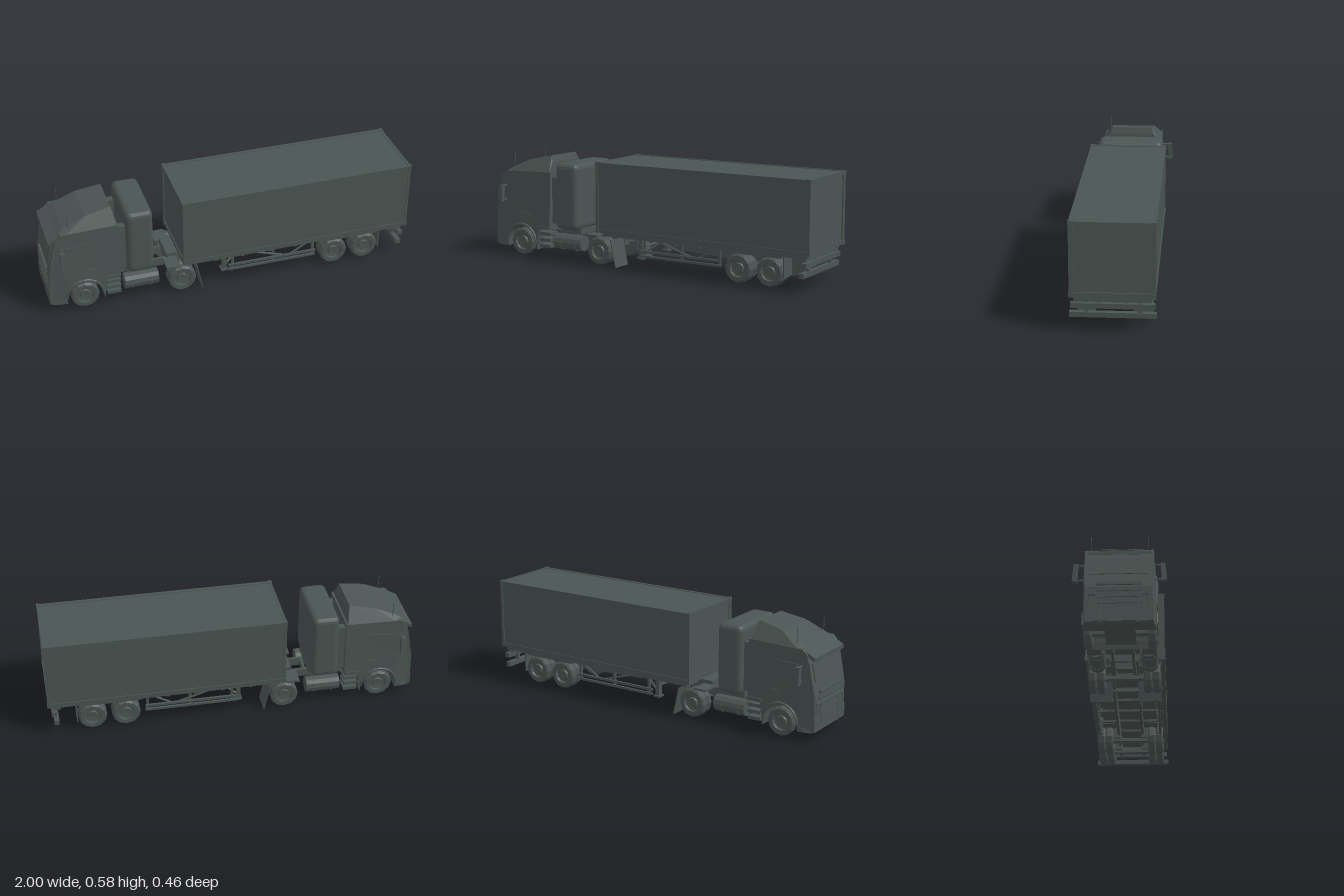
import * as THREE from 'three';
import { RoundedBoxGeometry } from 'three/addons/geometries/RoundedBoxGeometry.js';
import { ConvexGeometry } from 'three/addons/geometries/ConvexGeometry.js';

export function createModel() {
  const truck = new THREE.Group();
  truck.name = 'articulatedTruck';
  const paint = new THREE.MeshStandardMaterial({ color: 0x4a5452, flatShading: true, side: THREE.DoubleSide });
  paint.name = 'dark slate';

  const add = (name, geo, parent = truck) => {
    const m = new THREE.Mesh(geo, paint);
    m.name = name;
    parent.add(m);
    return m;
  };
  // Box given by its limits on each axis
  const box = (name, x0, x1, y0, y1, z0, z1, parent) =>
    add(name, new THREE.BoxGeometry(x1 - x0, y1 - y0, z1 - z0)
      .translate((x0 + x1) / 2, (y0 + y1) / 2, (z0 + z1) / 2), parent);
  // The same box on both sides of the truck
  const pair = (name, x0, x1, y0, y1, z0, z1, parent) => {
    box(name + 'Left', x0, x1, y0, y1, z0, z1, parent);
    box(name + 'Right', x0, x1, y0, y1, -z1, -z0, parent);
  };
  // Round bar between two points
  const bar = (name, a, b, r, parent) => {
    const p = new THREE.Vector3(...a), q = new THREE.Vector3(...b);
    const m = add(name, new THREE.CylinderGeometry(r, r, p.distanceTo(q), 6), parent);
    m.position.copy(p).lerp(q, 0.5);
    m.quaternion.setFromUnitVectors(new THREE.Vector3(0, 1, 0), q.sub(p).normalize());
  };
  // Side profile extruded across the truck
  const slab = (name, shape, z0, z1, parent) =>
    add(name, new THREE.ExtrudeGeometry(shape, { depth: z1 - z0, bevelEnabled: false, curveSegments: 8 })
      .translate(0, 0, z0), parent);
  const poly = pts => new THREE.Shape(pts.map(p => new THREE.Vector2(...p)));

  // Cab shell with open wheel arches, narrowed towards the nose
  const cab = new THREE.Group();
  cab.name = 'cab';
  truck.add(cab);
  const profile = poly([[-0.615, 0.165], [-0.615, 0.488], [-0.92, 0.48], [-0.945, 0.455], [-0.96, 0.41],
    [-0.98, 0.31], [-0.994, 0.24], [-0.995, 0.06], [-0.985, 0.05], [-0.95, 0.05], [-0.906, 0.05]]);
  profile.absarc(-0.81, 0.085, 0.096, Math.PI, 0, true);
  profile.lineTo(-0.705, 0.045);
  profile.lineTo(-0.69, 0.165);
  const shell = slab('cabShell', profile, -0.178, 0.178, cab).geometry;
  const pos = shell.attributes.position;
  for (let i = 0; i < pos.count; i++) {
    const nose = Math.max(0, -0.9 - pos.getX(i)) / 0.1;
    const roof = Math.max(0, pos.getY(i) - 0.3) / 0.19;
    pos.setZ(i, pos.getZ(i) * (1 - 0.1 * nose * nose - 0.05 * roof));
  }
  // Roof fairing rising to a narrow rear edge
  const fairing = [];
  for (const s of [-1, 1]) {
    for (const [x, y, z] of [[-0.93, 0.478, 0.14], [-0.89, 0.478, 0.165], [-0.625, 0.485, 0.166],
      [-0.9, 0.497, 0.13], [-0.78, 0.548, 0.125], [-0.64, 0.575, 0.112], [-0.63, 0.54, 0.125]])
      fairing.push(new THREE.Vector3(x, y, z * s));
  }
  add('roofFairing', new ConvexGeometry(fairing), cab);
  slab('sunVisor', poly([[-0.93, 0.47], [-0.985, 0.44], [-0.985, 0.42], [-0.93, 0.45]]), -0.155, 0.155, cab);
  slab('windscreen', poly([[-0.962, 0.41], [-0.981, 0.315], [-0.987, 0.315], [-0.968, 0.41]]), -0.142, 0.142, cab);
  for (let i = 0; i < 4; i++)
    box('grilleSlat', -1.0, -0.985, 0.15 + i * 0.033, 0.165 + i * 0.033, -0.11, 0.11, cab);
  box('bumper', -0.998, -0.93, 0.055, 0.125, -0.165, 0.165, cab);
  pair('headlamp', -0.995, -0.955, 0.13, 0.17, 0.115, 0.164, cab);
  pair('doorHandle', -0.79, -0.75, 0.232, 0.248, 0.17, 0.182, cab);
  pair('sideSkirt', -0.7, -0.62, 0.165, 0.185, 0.165, 0.183, cab);
  for (const s of [1, -1]) {
    // Side window, arch lip, steps, mirrors and aerials
    slab('sideWindow', poly([[-0.76, 0.305], [-0.93, 0.29], [-0.9, 0.4], [-0.76, 0.41]]),
      s > 0 ? 0.168 : -0.174, s > 0 ? 0.174 : -0.168, cab);
    const lip = add('archLip', new THREE.TorusGeometry(0.098, 0.007, 5, 10, Math.PI), cab);
    lip.position.set(-0.81, 0.085, s * 0.178);
    const mirror = add('mirror', new ConvexGeometry([
      [-0.935, 0.4, 0.2], [-0.91, 0.4, 0.2], [-0.935, 0.4, 0.222], [-0.91, 0.4, 0.222],
      [-0.935, 0.3, 0.205], [-0.91, 0.3, 0.205], [-0.935, 0.31, 0.231], [-0.91, 0.31, 0.231],
    ].map(([x, y, z]) => new THREE.Vector3(x, y, z * s))), cab);
    mirror.castShadow = false;
    bar('mirrorArmTop', [-0.92, 0.395, s * 0.15], [-0.92, 0.395, s * 0.215], 0.006, cab);
    bar('mirrorArmBottom', [-0.92, 0.315, s * 0.15], [-0.92, 0.315, s * 0.215], 0.006, cab);
    bar('aerial', [-0.875, 0.475, s * 0.142], [-0.875, 0.583, s * 0.142], 0.002, cab);
    // Bull bar uprights
    bar('bullBarUpright', [-0.994, 0.05, s * 0.09], [-0.994, 0.205, s * 0.09], 0.006, cab);
    bar('bullBarOuter', [-0.99, 0.06, s * 0.15], [-0.994, 0.19, s * 0.14], 0.006, cab);
  }
  for (const y of [0.06, 0.2]) bar('bullBarCross', [-0.994, y, -0.145], [-0.994, y, 0.145], 0.006, cab);
  for (let i = 0; i < 3; i++)
    pair('step', -0.69, -0.615, 0.06 + i * 0.035, 0.078 + i * 0.035, 0.1, 0.172, cab);

  // Tractor frame, engine and sleeper pod
  pair('tractorRail', -0.93, -0.2, 0.105, 0.15, 0.045, 0.06);
  box('engine', -0.93, -0.66, 0.07, 0.2, -0.075, 0.075);
  for (const x of [-0.58, -0.43, -0.34, -0.21]) box('crossMember', x, x + 0.015, 0.11, 0.145, -0.05, 0.05);
  add('sleeperPod', new RoundedBoxGeometry(0.146, 0.37, 0.364, 2, 0.03)).position.set(-0.503, 0.36, 0);
  pair('podBracket', -0.615, -0.57, 0.2, 0.46, 0.11, 0.15);
  box('podFloor', -0.57, -0.435, 0.148, 0.182, -0.13, 0.13);
  box('fifthWheel', -0.34, -0.2, 0.15, 0.185, -0.075, 0.075);
  for (const s of [1, -1]) {
    const tank = add('fuelTank', new THREE.CylinderGeometry(0.044, 0.044, 0.185, 12).rotateZ(Math.PI / 2));
    tank.position.set(-0.5, 0.102, s * 0.133);
    for (const x of [-0.55, -0.45]) {
      const strap = add('tankStrap', new THREE.CylinderGeometry(0.047, 0.047, 0.012, 12).rotateZ(Math.PI / 2));
      strap.position.set(x, 0.102, s * 0.133);
    }
    box('fender', -0.365, -0.29, 0.158, 0.168, s * 0.132 - 0.05, s * 0.132 + 0.05);
    // Slanted mud flap behind the drive wheel
    slab('mudFlap', poly([[-0.202, 0.15], [-0.17, 0], [-0.165, 0], [-0.197, 0.15]]), s * 0.128 - 0.06, s * 0.128 + 0.06);
  }

  // Wheels: lathed tyre with dished rim
  const tyre = new THREE.LatheGeometry([[0.001, 0.012], [0.026, 0.014], [0.03, 0.004], [0.044, 0.006],
    [0.047, 0.02], [0.068, 0.021], [0.077, 0.013], [0.077, -0.013], [0.068, -0.021], [0.001, -0.018]]
    .map(p => new THREE.Vector2(...p)), 12).rotateX(Math.PI / 2);
  const axle = (name, x, dual) => {
    const g = new THREE.Group();
    g.name = name;
    g.position.set(x, 0.082, 0);
    for (const s of [1, -1]) {
      for (const z of dual ? [0.165, 0.121] : [0.155]) {
        const w = add('wheel', tyre, g);
        w.position.z = s * z;
        if (s < 0) w.rotation.y = Math.PI;
      }
    }
    bar('axleBeam', [0, 0, -0.15], [0, 0, 0.15], 0.016, g);
    truck.add(g);
  };
  axle('steerAxle', -0.81, false);
  axle('driveAxle', -0.28, true);
  axle('trailerAxleFront', 0.585, true);
  axle('trailerAxleRear', 0.765, true);

  // Container with frame rails, posts and corner castings
  const load = new THREE.Group();
  load.name = 'container';
  truck.add(load);
  box('containerBody', -0.275, 0.993, 0.195, 0.57, -0.204, 0.204, load);
  pair('topRail', -0.28, 1, 0.553, 0.573, 0.19, 0.209, load);
  pair('bottomRail', -0.28, 1, 0.19, 0.212, 0.19, 0.209, load);
  for (const x of [-0.28, 0.985]) {
    pair('cornerPost', x, x + 0.015, 0.19, 0.573, 0.185, 0.209, load);
    box('endTopRail', x, x + 0.015, 0.553, 0.573, -0.2, 0.2, load);
    box('endBottomRail', x, x + 0.015, 0.19, 0.215, -0.2, 0.2, load);
    for (const y of [0.188, 0.553]) pair('cornerCasting', x - 0.002, x + 0.017, y, y + 0.023, 0.183, 0.211, load);
  }

  // Trailer chassis with deepened main beams
  const beam = poly([[-0.27, 0.19], [-0.27, 0.165], [-0.04, 0.16], [0.12, 0.12], [0.48, 0.105],
    [0.9, 0.11], [0.97, 0.14], [0.97, 0.19]]);
  slab('mainBeamLeft', beam, 0.06, 0.075);
  slab('mainBeamRight', beam, -0.075, -0.06);
  box('chassisDeck', -0.22, 0.98, 0.178, 0.192, -0.15, 0.15);
  pair('outerRail', -0.25, 0.98, 0.17, 0.19, 0.17, 0.19);
  for (let i = 0; i < 9; i++) box('chassisCross', -0.25 + i * 0.15, -0.232 + i * 0.15, 0.165, 0.188, -0.19, 0.19);
  for (const s of [1, -1]) {
    // Landing leg, braces and side guard
    box('landingLeg', -0.045, -0.022, 0.065, 0.18, s * 0.13 - 0.014, s * 0.13 + 0.014);
    box('landingFoot', -0.052, -0.015, 0.058, 0.068, s * 0.13 - 0.022, s * 0.13 + 0.022);
    bar('legBrace', [-0.03, 0.085, s * 0.13], [0.1, 0.17, s * 0.08], 0.006);
    bar('sideBrace', [0.08, 0.175, s * 0.165], [0.3, 0.105, s * 0.165], 0.006);
    bar('sideBraceRear', [0.34, 0.105, s * 0.165], [0.46, 0.175, s * 0.165], 0.006);
    for (const y of [0.075, 0.1]) box('sideGuardRail', -0.02, 0.48, y, y + 0.012, s * 0.172 - 0.006, s * 0.172 + 0.006);
    for (const x of [0, 0.23, 0.46]) box('guardPost', x, x + 0.014, 0.075, 0.18, s * 0.162 - 0.006, s * 0.162 + 0.006);
    box('trailerFender', 0.515, 0.835, 0.16, 0.17, s * 0.142 - 0.045, s * 0.142 + 0.045);
    box('trailerFlap', 0.845, 0.852, 0.06, 0.17, s * 0.142 - 0.045, s * 0.142 + 0.045);
    box('bumperHanger', 0.945, 0.965, 0.08, 0.18, s * 0.13 - 0.01, s * 0.13 + 0.01);
    for (const x of [0.585, 0.765]) box('airSpring', x - 0.03, x + 0.03, 0.09, 0.15, s * 0.078 - 0.02, s * 0.078 + 0.02);
  }
  bar('landingCross', [-0.033, 0.12, -0.13], [-0.033, 0.12, 0.13], 0.008);
  // Rear bars
  box('lampBar', 0.955, 0.982, 0.126, 0.152, -0.205, 0.205);
  box('rearUnderrunBar', 0.945, 0.972, 0.075, 0.101, -0.212, 0.212);
  box('rearCrossBeam', 0.93, 0.975, 0.158, 0.182, -0.19, 0.19);
  return truck;
}
